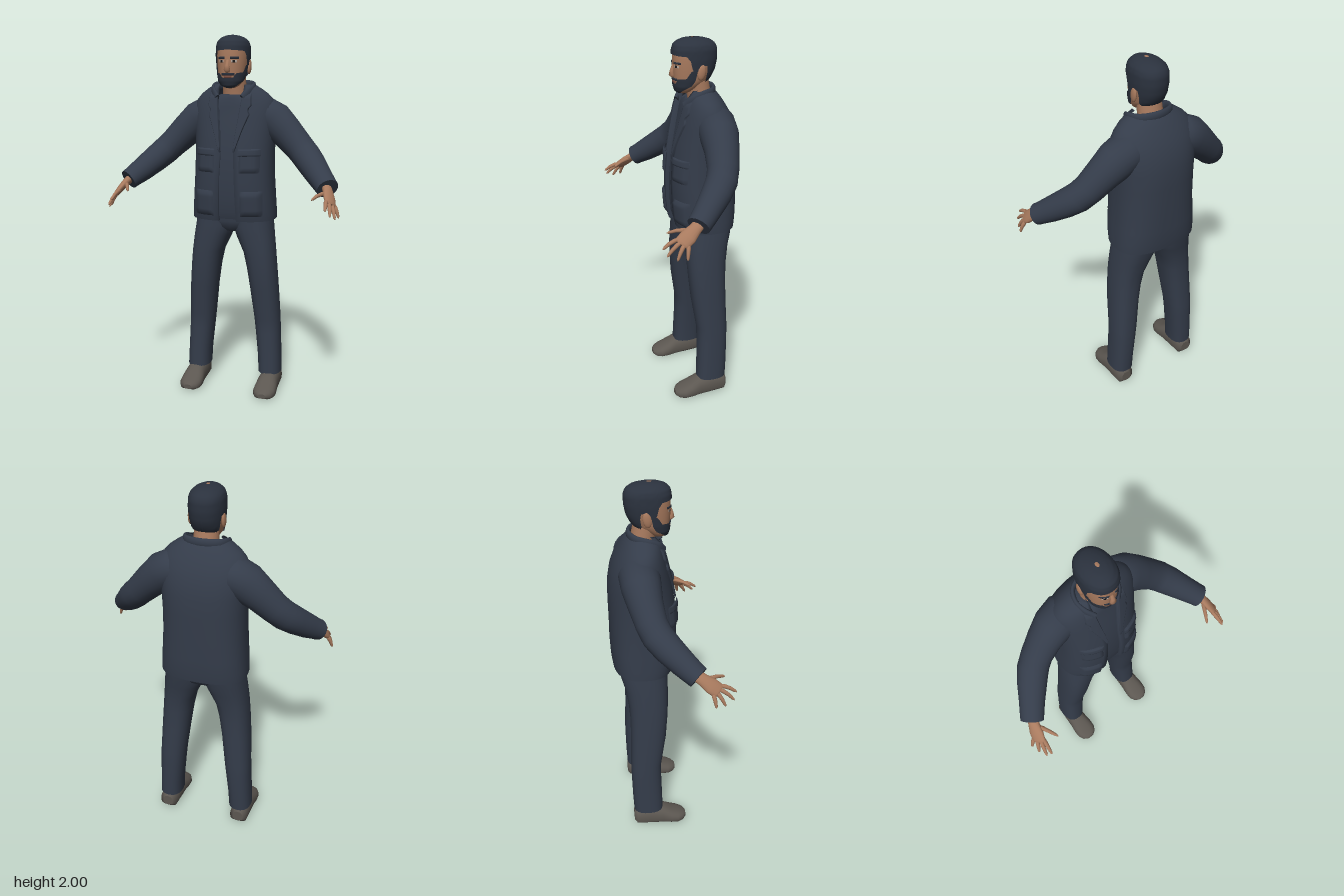
import * as THREE from 'three';

const V = (x, y, z) => new THREE.Vector3(x, y, z);
const mat = (name, color) => {
  const m = new THREE.MeshStandardMaterial({ color, side: THREE.DoubleSide });
  m.name = name;
  return m;
};

// Skin a list of rings (arrays of points); closed rings wrap, caps fill the ends
function loft(rings, closed = true, caps = true) {
  const n = rings[0].length, pos = [], idx = [];
  rings.forEach(r => r.forEach(p => pos.push(p.x, p.y, p.z)));
  for (let j = 0; j < rings.length - 1; j++)
    for (let i = 0; i < (closed ? n : n - 1); i++) {
      const a = j * n + i, b = j * n + (i + 1) % n;
      idx.push(a, b, b + n, a, b + n, a + n);
    }
  if (closed && caps) [rings[0], rings[rings.length - 1]].forEach((r, e) => {
    const s = pos.length / 3, c = r.reduce((q, p) => q.add(p), V(0, 0, 0)).divideScalar(n);
    [...r, c].forEach(p => pos.push(p.x, p.y, p.z));
    for (let i = 0; i < n; i++) {
      const k = (i + 1) % n;
      e ? idx.push(s + i, s + k, s + n) : idx.push(s + k, s + i, s + n);
    }
  });
  const g = new THREE.BufferGeometry();
  g.setAttribute('position', new THREE.Float32BufferAttribute(pos, 3));
  g.setIndex(idx);
  g.computeVertexNormals();
  return g;
}

// Tube through [x, y, z, wide, thin]; the wide axis follows ref
function limb(pts, ref, seg = 16) {
  const c = pts.map(p => V(p[0], p[1], p[2]));
  return loft(c.map((p, k) => {
    const t = c[Math.min(k + 1, c.length - 1)].clone().sub(c[Math.max(k - 1, 0)]).normalize();
    const u = ref.clone().addScaledVector(t, -ref.dot(t)).normalize(), v = t.clone().cross(u);
    return Array.from({ length: seg }, (_, i) => {
      const a = i / seg * Math.PI * 2;
      return p.clone().addScaledVector(u, pts[k][3] * Math.cos(a)).addScaledVector(v, pts[k][4] * Math.sin(a));
    });
  }));
}

// Body profiles: rows of [y, half width, front z, back z, squareness, extra]
function at(profile, y) {
  let k = 0;
  while (k < profile.length - 2 && y > profile[k + 1][0]) k++;
  const a = profile[k], b = profile[k + 1];
  const t = THREE.MathUtils.clamp((y - a[0]) / (b[0] - a[0]), 0, 1);
  return a.map((v, i) => v + (b[i] - v) * t);
}
const pw = (v, e) => Math.sign(v) * Math.abs(v) ** e;
function around([y, rx, zf, zb, n], a, off = 0, cx = 0) {
  const e = 2 / n;
  return V(cx + (rx + off) * pw(Math.sin(a), e), y, (zf + zb) / 2 + ((zf - zb) / 2 + off) * pw(Math.cos(a), e));
}
const ring = (row, seg, cx = 0) => Array.from({ length: seg }, (_, i) => around(row, i / seg * Math.PI * 2, 0, cx));

// Raised panel lying on the front of a profile
function panel(profile, x0, x1, y0, y1, off, base = 0.001, res = 8) {
  const f = v => typeof v === 'function' ? v : () => v;
  return loft(Array.from({ length: res + 1 }, (_, j) => {
    const y = y0 + (y1 - y0) * j / res, a = f(x0)(y), b = f(x1)(y), [, rx, zf, zb, n] = at(profile, y);
    return Array.from({ length: res + 1 }, (_, i) => {
      const x = a + (b - a) * i / res, edge = i % res && j % res ? 1 : 0;
      const z = (zf + zb) / 2 + (zf - zb) / 2 * Math.max(0, 1 - Math.abs(x / rx) ** n) ** (1 / n);
      return V(x, y, z + base + off * edge);
    });
  }), false);
}

// Panel wrapped around a profile between two angles
function wrap(profile, a0, a1, lo, hi, off, cols = 48, rows = 14, pow = 1) {
  return loft(Array.from({ length: rows + 1 }, (_, j) => Array.from({ length: cols + 1 }, (_, i) => {
    const a = a0 + (a1 - a0) * i / cols, l = lo(Math.abs(a)), h = hi(Math.abs(a));
    const y = h - (h - l) * (1 - j / rows) ** pow;
    return around(at(profile, y), a, off);
  })), false);
}
// Piecewise linear function through [x, y] pairs
const steps = (...p) => x => at(p, x)[1];

const HEAD = [
  [1.718, 0.02, 0.005, -0.04, 2], [1.73, 0.045, 0.024, -0.06, 2], [1.755, 0.064, 0.032, -0.1, 2.1],
  [1.79, 0.074, 0.036, -0.15, 2.2], [1.84, 0.08, 0.04, -0.175, 2.2], [1.89, 0.083, 0.04, -0.185, 2.2],
  [1.94, 0.081, 0.037, -0.185, 2.2], [1.965, 0.073, 0.03, -0.175, 2.1], [1.983, 0.054, 0.01, -0.15, 2],
  [1.994, 0.028, -0.02, -0.11, 2], [1.998, 0.001, -0.06, -0.07, 2]];

// Last column is the half width of the front opening
const JACKET = [
  [1.0, 0.235, 0.046, -0.275, 2.6, 0.05], [1.05, 0.234, 0.058, -0.282, 2.6, 0.05], [1.13, 0.228, 0.066, -0.286, 2.6, 0.047],
  [1.25, 0.221, 0.07, -0.286, 2.5, 0.043], [1.38, 0.22, 0.06, -0.288, 2.4, 0.037], [1.48, 0.225, 0.042, -0.286, 2.3, 0.045],
  [1.56, 0.235, 0.025, -0.272, 2.2, 0.055], [1.62, 0.232, 0.012, -0.25, 2.1, 0.062], [1.66, 0.213, 0.003, -0.228, 2, 0.068],
  [1.69, 0.185, -0.004, -0.21, 2, 0.07], [1.715, 0.15, -0.012, -0.192, 2, 0.072], [1.738, 0.112, -0.03, -0.17, 2, 0.07]];

// Rows of [y, inner x, outer x, front z, back z]
const LEG = [
  [0.1, 0.15, 0.28, -0.027, -0.195], [0.2, 0.145, 0.276, -0.03, -0.2], [0.34, 0.13, 0.27, -0.034, -0.204],
  [0.42, 0.121, 0.267, -0.033, -0.205], [0.6, 0.1, 0.257, -0.005, -0.2], [0.72, 0.082, 0.248, 0.005, -0.2],
  [0.81, 0.062, 0.24, 0.01, -0.206], [0.9, 0.02, 0.23, 0.012, -0.222], [0.96, -0.003, 0.222, 0.012, -0.24],
  [1.03, -0.005, 0.212, 0.01, -0.25]];

export function createModel() {
  const model = new THREE.Group();
  model.name = 'standingMan';
  const cloth = mat('navyCloth', 0x343c4a), hair = mat('darkHair', 0x2b323e), skin = mat('skin', 0xa87a5e),
    shoeMat = mat('shoeGrey', 0x5c5751), dark = mat('eyeDark', 0x1c1a1b), white = mat('eyeWhite', 0xb5a79c), lip = mat('lip', 0x8a584a);
  const add = (name, geo, m) => {
    const mesh = new THREE.Mesh(geo, m);
    mesh.name = name;
    model.add(mesh);
  };
  const pair = (name, geo, m) => {
    add(name + 'Left', geo, m);
    const g = geo.clone().scale(-1, 1, 1), a = g.index.array;
    for (let i = 0; i < a.length; i += 3) [a[i], a[i + 1]] = [a[i + 1], a[i]];
    add(name + 'Right', g, m);
  };

  // Head and neck
  add('head', loft(HEAD.map(r => ring(r, 36))), skin);
  add('neck', limb([[0, 1.6, -0.115, 0.075, 0.07], [0, 1.69, -0.105, 0.066, 0.062], [0, 1.79, -0.085, 0.062, 0.062]], V(1, 0, 0), 24), skin);
  add('nose', limb([[0, 1.866, 0.036, 0.009, 0.006], [0, 1.835, 0.045, 0.012, 0.011], [0, 1.815, 0.046, 0.018, 0.015], [0, 1.803, 0.038, 0.012, 0.008]], V(1, 0, 0), 12), skin);
  pair('ear', new THREE.SphereGeometry(1, 14, 10).scale(0.011, 0.04, 0.022).rotateX(-0.15).translate(0.086, 1.832, -0.085), skin);

  // Hair and beard
  const hairline = steps([0, 1.918], [1.05, 1.912], [1.25, 1.885], [1.35, 1.835], [1.55, 1.835], [1.65, 1.868], [1.95, 1.862], [2.1, 1.79], [2.5, 1.768], [3.2, 1.762]);
  add('hair', wrap(HEAD, -Math.PI, Math.PI, hairline, () => 1.998, 0.008, 72, 20, 1.7), hair);
  const beardTop = steps([0, 1.771], [0.38, 1.774], [0.55, 1.797], [1.1, 1.802], [1.3, 1.84], [1.6, 1.845]);
  const beardLow = steps([0, 1.718], [0.8, 1.722], [1.6, 1.765]);
  add('beard', wrap(HEAD, -1.55, 1.55, beardLow, beardTop, 0.006), hair);
  add('moustache', panel(HEAD, -0.037, 0.037, 1.786, 1.799, 0.005), hair);
  add('lips', panel(HEAD, -0.022, 0.022, 1.773, 1.786, 0.004), lip);

  // Eyes and brows
  pair('eyeWhite', panel(HEAD, 0.02, 0.048, 1.853, 1.864, 0.001), white);
  pair('iris', panel(HEAD, 0.028, 0.04, 1.853, 1.865, 0.001, 0.002), dark);
  pair('brow', panel(HEAD, 0.015, 0.056, 1.871, 1.882, 0.004), hair);

  // Shirt under the open jacket
  const shirt = JACKET.filter(r => r[0] < 1.65).map(([y, w, f, b, n]) => [Math.max(y, 1.01), w * 0.93, f - 0.018, b + 0.015, n]);
  shirt.push([1.665, 0.13, -0.012, -0.19, 2], [1.685, 0.075, -0.03, -0.17, 2]);
  add('shirt', loft(shirt.map(r => ring(r, 48))), cloth);

  // Jacket body with turned-in front edges
  add('jacket', loft(JACKET.map(r => {
    const a0 = Math.asin((r[5] / r[1]) ** (r[4] / 2)), N = 56;
    const pts = Array.from({ length: N + 1 }, (_, i) => around(r, a0 + (2 * Math.PI - 2 * a0) * i / N));
    const inner = p => p.clone().add(V(0, 0, -0.025));
    return [inner(pts[0]), ...pts, inner(pts[N])];
  }), false), cloth);
  const lapelIn = steps([1.38, 0.036], [1.48, 0.044], [1.56, 0.054], [1.62, 0.061], [1.69, 0.068]);
  const lapelOut = steps([1.38, 0.042], [1.5, 0.082], [1.59, 0.118], [1.605, 0.095], [1.62, 0.122], [1.69, 0.115]);
  pair('lapel', panel(JACKET, lapelIn, lapelOut, 1.38, 1.69, 0.01, 0.001, 20), cloth);
  pair('chestPocket', panel(JACKET, 0.07, 0.175, 1.27, 1.39, 0.012), cloth);
  pair('chestPocketFlap', panel(JACKET, 0.066, 0.18, 1.36, 1.4, 0.006, 0.012), cloth);
  pair('hipPocket', panel(JACKET, 0.075, 0.19, 1.03, 1.17, 0.012), cloth);
  const collar = [[0.072, 1.665, -0.003], [0.1, 1.7, -0.035], [0.112, 1.722, -0.085], [0.085, 1.733, -0.145], [0, 1.737, -0.172]];
  const curve = new THREE.CatmullRomCurve3([...collar, ...collar.slice(0, 4).reverse().map(p => [-p[0], p[1], p[2]])].map(p => V(...p)));
  add('collar', limb(curve.getPoints(32).map(p => [p.x, p.y, p.z, 0.024, 0.012]), V(0, 1, 0), 12), cloth);

  // Sleeves with cuffs
  pair('sleeve', limb([
    [0.09, 1.575, -0.13, 0.07, 0.08], [0.16, 1.575, -0.135, 0.1, 0.105], [0.22, 1.54, -0.132, 0.104, 0.1], [0.29, 1.48, -0.12, 0.09, 0.088],
    [0.36, 1.41, -0.1, 0.08, 0.08], [0.405, 1.365, -0.075, 0.078, 0.08], [0.45, 1.32, -0.03, 0.074, 0.076], [0.505, 1.265, 0.035, 0.066, 0.066],
    [0.54, 1.232, 0.078, 0.058, 0.062], [0.557, 1.216, 0.1, 0.056, 0.06]], V(0, 1, 0), 24), cloth);

  // Hands: palm, four fingers and thumb
  const across = V(0.035, -0.025, -0.055);
  pair('palm', limb([[0.545, 1.228, 0.085, 0.03, 0.024], [0.562, 1.205, 0.12, 0.032, 0.022], [0.576, 1.178, 0.157, 0.041, 0.019],
    [0.587, 1.155, 0.19, 0.039, 0.015], [0.59, 1.148, 0.198, 0.03, 0.009]], across), skin);
  const fingers = [
    ['indexFinger', [0.568, 1.168, 0.205], [0.577, 1.13, 0.285]], ['middleFinger', [0.582, 1.156, 0.198], [0.6, 1.1, 0.27]],
    ['ringFinger', [0.594, 1.147, 0.183], [0.618, 1.08, 0.225]], ['littleFinger', [0.603, 1.142, 0.165], [0.63, 1.08, 0.178]],
    ['thumb', [0.552, 1.197, 0.14], [0.5, 1.175, 0.24]]];
  for (const [name, a, b] of fingers)
    pair(name, limb([[-0.12, 0.009], [0.25, 0.011], [0.6, 0.0095], [0.9, 0.007], [1, 0.002]].map(([t, r]) =>
      [...a.map((v, i) => v + (b[i] - v) * t + (i === 1 ? 0.008 * Math.sin(Math.PI * t) : 0)), r, r]), across, 10), skin);

  // Trousers
  pair('trouserLeg', loft(LEG.map(([y, a, b, f, k]) => ring([y, (b - a) / 2, f, k, 2.4], 28, (a + b) / 2))), cloth);
  add('trouserSeat', loft([[0.93, 0.07, -0.03, -0.18, 2], [0.955, 0.15, -0.003, -0.225, 2.3], [0.99, 0.205, 0.008, -0.245, 2.5],
    [1.04, 0.21, 0.01, -0.25, 2.5]].map(r => ring(r, 36))), cloth);

  // Shoes, lofted from heel to toe as [z, half width, bottom, top]
  const shoe = [[-0.195, 0.03, 0.02, 0.085], [-0.18, 0.05, 0.004, 0.11], [-0.1, 0.054, 0, 0.118], [-0.03, 0.058, 0, 0.108],
    [0.02, 0.064, 0, 0.08], [0.06, 0.063, 0, 0.064], [0.09, 0.048, 0.003, 0.052], [0.108, 0.022, 0.012, 0.038]];
  pair('shoe', loft(shoe.map(([z, w, lo, hi]) => Array.from({ length: 24 }, (_, i) => {
    const a = i / 24 * Math.PI * 2, e = Math.sin(a) < 0 ? 0.5 : 0.9;
    return V(0.22 + w * pw(Math.cos(a), 0.8), lo + (hi - lo) * (0.4 + pw(Math.sin(a), e) * (Math.sin(a) < 0 ? 0.4 : 0.6)), z);
  }))), shoeMat);
  return model;
}
